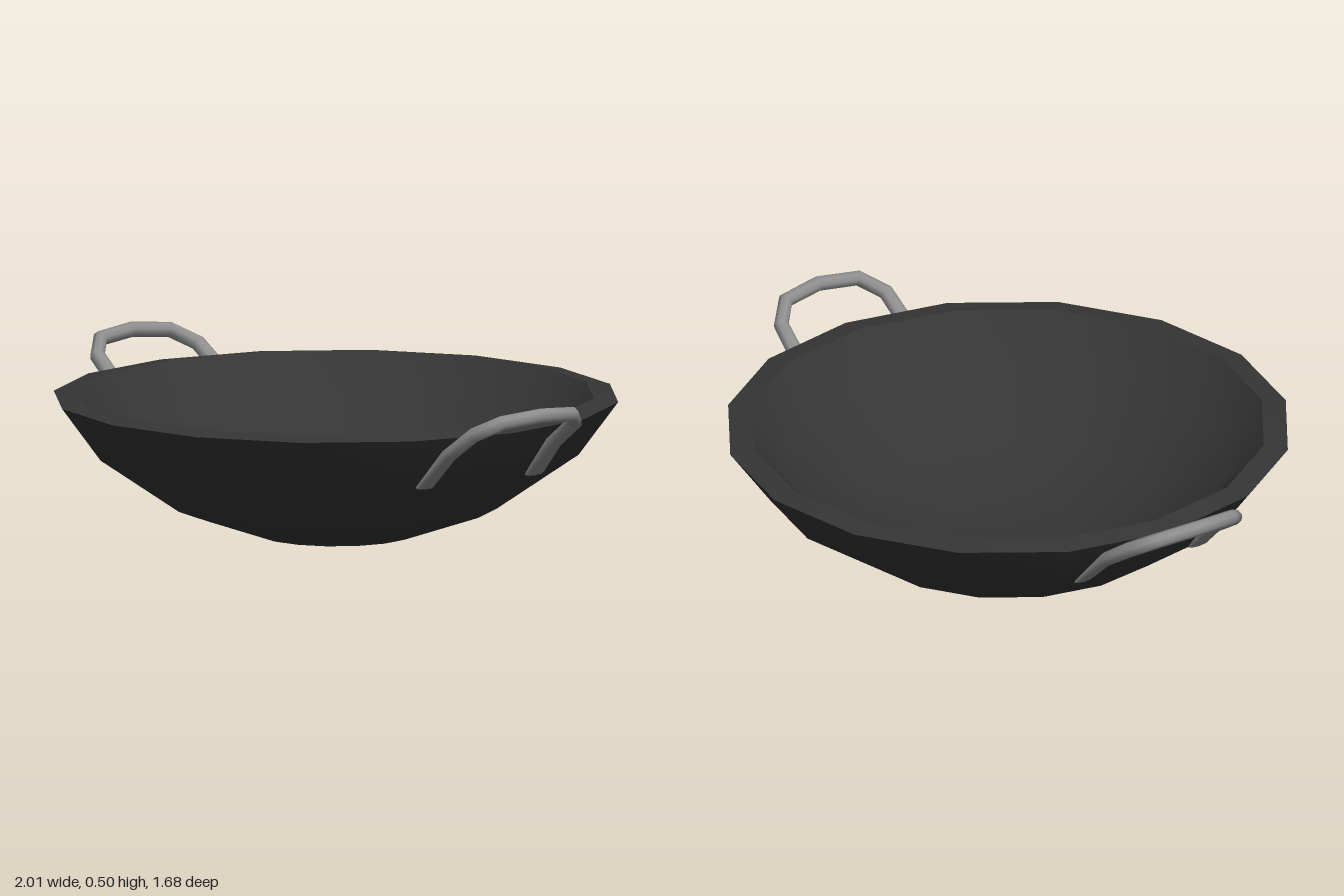
import * as THREE from 'three';

const iron = new THREE.MeshStandardMaterial({ color: 0x353535 });
iron.name = 'dark iron';
const steel = new THREE.MeshStandardMaterial({ color: 0x8e8e8e });
steel.name = 'grey steel';

// Sixteen-sided turned surface, smooth within itself
function turned(name, profile) {
  const points = profile.map(([r, y]) => new THREE.Vector2(r, y));
  const mesh = new THREE.Mesh(new THREE.LatheGeometry(points, 16), iron);
  mesh.name = name;
  return mesh;
}

// Bent rod with a flattened, flared foot at each end
function handleGeometry() {
  const half = [ // x, y, z, half width, half thickness
    [0.685, 0.25, 0.205, 0.036, 0.008],
    [0.79, 0.358, 0.196, 0.026, 0.021],
    [0.9, 0.432, 0.188, 0.023, 0.023],
    [0.961, 0.47, 0.13, 0.023, 0.023],
  ];
  const sections = [
    ...half,
    [0.98, 0.481, 0, 0.023, 0.023],
    ...half.slice().reverse().map(([x, y, z, w, t]) => [x, y, -z, w, t]),
  ];
  const sides = 8;
  const centres = sections.map(([x, y, z]) => new THREE.Vector3(x, y, z));
  const up = new THREE.Vector3(-0.58, 0.815, 0).normalize();
  const positions = [];
  const index = [];
  sections.forEach(([, , , w, t], i) => {
    const next = centres[Math.min(i + 1, centres.length - 1)];
    const tangent = next.clone().sub(centres[Math.max(i - 1, 0)]).normalize();
    const across = new THREE.Vector3().crossVectors(up, tangent).normalize();
    for (let j = 0; j < sides; j++) {
      const a = (j / sides) * Math.PI * 2;
      const p = centres[i].clone()
        .addScaledVector(across, Math.cos(a) * w)
        .addScaledVector(up, Math.sin(a) * t);
      positions.push(p.x, p.y, p.z);
      if (i < sections.length - 1) {
        const k = i * sides + j;
        const n = i * sides + ((j + 1) % sides);
        index.push(k, n, k + sides, n, n + sides, k + sides);
      }
    }
  });
  const geometry = new THREE.BufferGeometry();
  geometry.setAttribute('position', new THREE.Float32BufferAttribute(positions, 3));
  geometry.setIndex(index);
  geometry.computeVertexNormals();
  return geometry;
}

export function createModel() {
  const model = new THREE.Group();
  model.name = 'wok';

  // Pan: outside, rim and inside, with sharp edges at the rim
  model.add(
    turned('panOutside', [[0, 0], [0.23, 0], [0.48, 0.086], [0.72, 0.25], [0.838, 0.41]]),
    turned('panRim', [[0.838, 0.41], [0.766, 0.42]]),
    turned('panInside', [[0.766, 0.42], [0.655, 0.298], [0.44, 0.148], [0.21, 0.075], [0, 0.072]]),
  );

  // Two matching handles
  const geometry = handleGeometry();
  for (const [name, turn] of [['leftHandle', 0], ['rightHandle', Math.PI]]) {
    const handle = new THREE.Mesh(geometry, steel);
    handle.name = name;
    handle.rotation.y = turn;
    model.add(handle);
  }
  return model;
}
